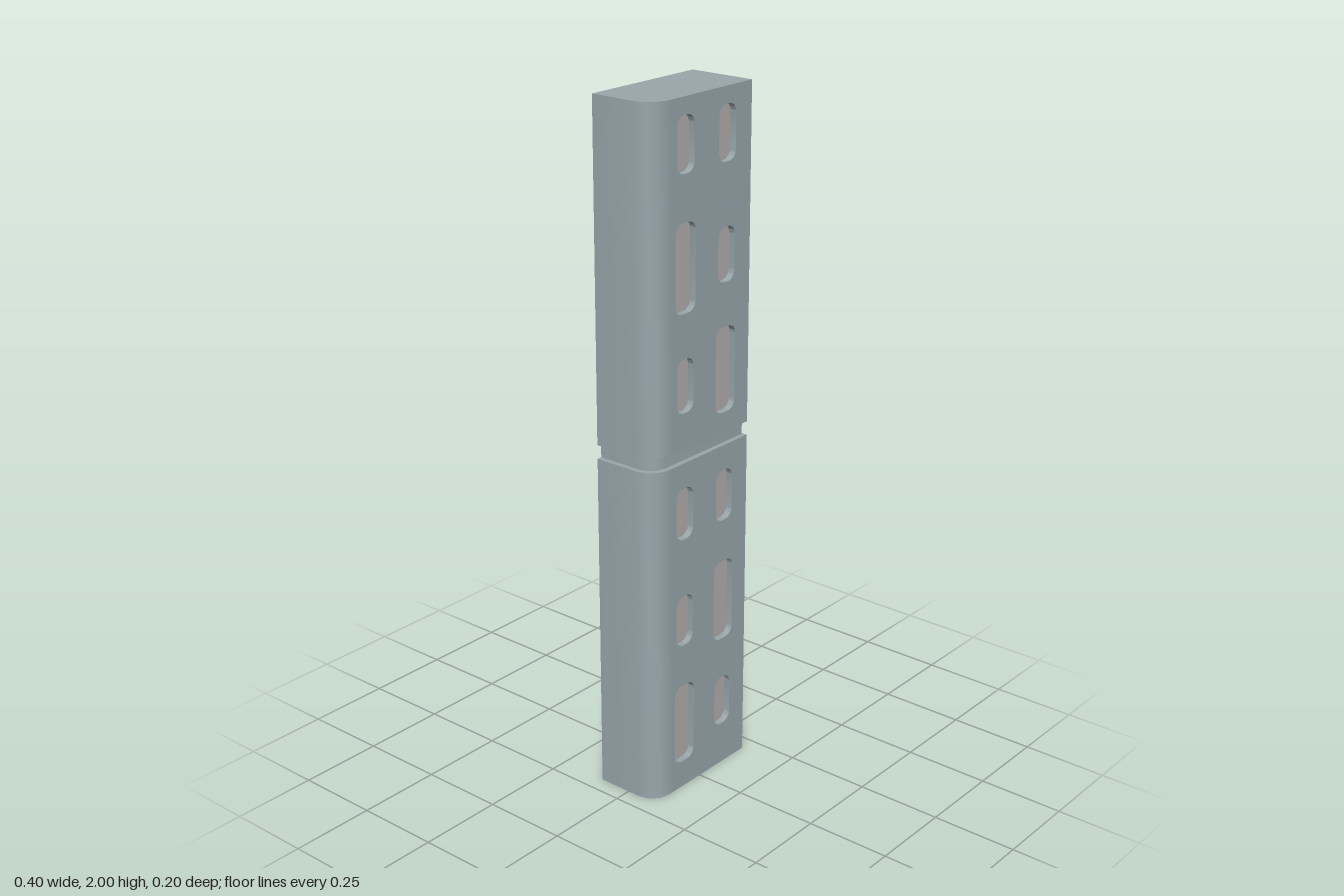
import * as THREE from 'three';
import { toCreasedNormals } from 'three/addons/utils/BufferGeometryUtils.js';

const FRONT = 0.1, BACK = -0.1, FLOOR = 0.08, SPLIT = -0.12;

const bodyMat = new THREE.MeshStandardMaterial({ color: 0x98a7ac });
const floorMat = new THREE.MeshStandardMaterial({ color: 0xb3aeac });

function part(name, geometry, material = bodyMat) {
  const mesh = new THREE.Mesh(geometry, material);
  mesh.name = name;
  return mesh;
}

// Points [x, z] of the rounded front edge, from the front face round to the side
function roundedEdge(left, front, r) {
  return [0, 1, 2, 3].map(i => {
    const a = i * Math.PI / 6;
    return [left + r - r * Math.sin(a), front - r + r * Math.cos(a)];
  });
}

// Upright prism from a plan outline of [x, z] points
function prism(plan, y0, y1) {
  const shape = new THREE.Shape(plan.map(([x, z]) => new THREE.Vector2(x, -z)));
  const geo = new THREE.ExtrudeGeometry(shape, { depth: y1 - y0, bevelEnabled: false });
  geo.rotateX(-Math.PI / 2).translate(0, y0, 0);
  return toCreasedNormals(geo, 0.6);
}

// Upright rounded slot, added to a shape or a path
function slot(target, { x, y, w, h }, r = 0.028) {
  const x0 = x - w / 2, x1 = x + w / 2, y0 = y - h / 2, y1 = y + h / 2;
  target.moveTo(x0 + r, y0);
  target.lineTo(x1 - r, y0);
  target.absarc(x1 - r, y0 + r, r, -Math.PI / 2, 0);
  target.lineTo(x1, y1 - r);
  target.absarc(x1 - r, y1 - r, r, 0, Math.PI / 2);
  target.lineTo(x0 + r, y1);
  target.absarc(x0 + r, y1 - r, r, Math.PI / 2, Math.PI);
  target.lineTo(x0, y0 + r);
  target.absarc(x0 + r, y0 + r, r, Math.PI, Math.PI * 1.5);
  return target;
}

// One half of the slab: stepped body, slotted front panel and slot floors
function half(name, y0, y1, rows) {
  const group = new THREE.Group();
  group.name = name;

  const plan = [
    [-0.2, BACK], [0.2, BACK], [0.2, FLOOR], [SPLIT, FLOOR], [SPLIT, FRONT],
    ...roundedEdge(-0.2, FRONT, 0.06),
  ];
  group.add(part('body', prism(plan.reverse(), y0, y1)));

  // Each row: height, and which column (if any) holds the long slot
  const slots = rows.flatMap(([y, long]) => [-0.07, 0.1].map((x, i) => (
    i === long ? { x, y, w: 0.083, h: 0.245 } : { x, y, w: 0.07, h: 0.152 }
  )));

  const face = new THREE.Shape([
    [SPLIT, y0], [0.2, y0], [0.2, y1], [SPLIT, y1],
  ].map(p => new THREE.Vector2(...p)));
  face.holes = slots.map(s => slot(new THREE.Path(), s));
  const panel = new THREE.ExtrudeGeometry(face, {
    depth: FRONT - FLOOR, bevelEnabled: false, curveSegments: 6,
  }).translate(0, 0, FLOOR);
  group.add(part('frontPanel', toCreasedNormals(panel, 0.6)));

  for (const s of slots) {
    const floor = new THREE.ShapeGeometry(slot(new THREE.Shape(), s), 6);
    group.add(part('slotFloor', floor.translate(0, 0, FLOOR + 0.001), floorMat));
  }
  return group;
}

export function createModel() {
  const model = new THREE.Group();
  model.name = 'slottedSlab';

  model.add(half('lowerHalf', 0, 1.005, [[0.205, 0], [0.53, 1], [0.855, -1]]));
  model.add(half('upperHalf', 1.045, 2, [[1.225, 1], [1.55, 0], [1.877, -1]]));

  // Recessed neck in the groove between the halves, flush at the back
  const neck = [[-0.185, BACK], [0.196, BACK], [0.196, 0.085], ...roundedEdge(-0.185, 0.085, 0.05)];
  model.add(part('grooveNeck', prism(neck.reverse(), 1.0, 1.05)));

  return model;
}
